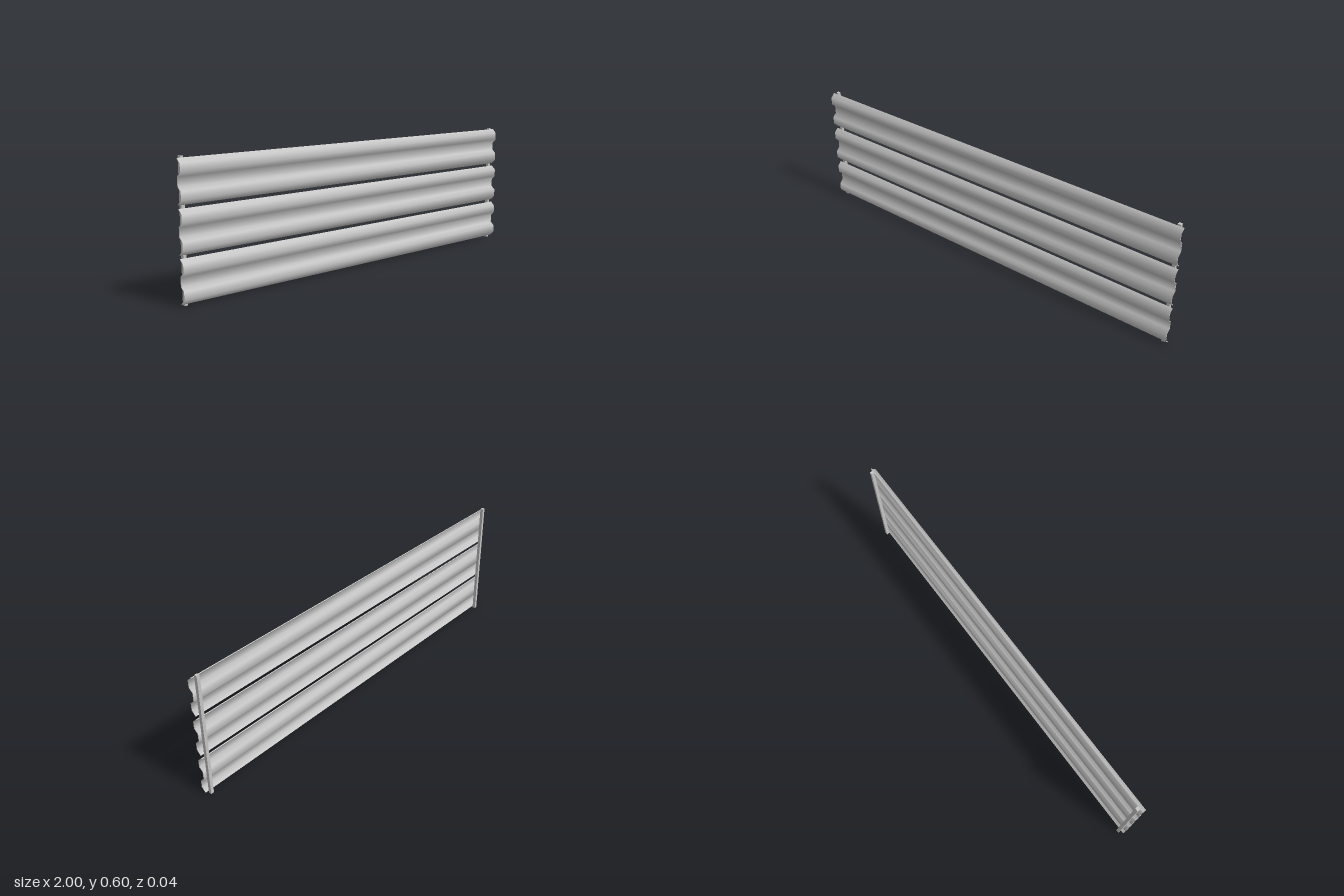
import * as THREE from 'three';
import { toCreasedNormals } from 'three/addons/utils/BufferGeometryUtils.js';

export function createModel() {
  const group = new THREE.Group();
  group.name = 'guardRail';
  const steelGrey = new THREE.MeshStandardMaterial({ color: 0xc4c4c4 });
  steelGrey.name = 'steel grey';

  // Front line of the upper half of a rail as [z, height above rail centre]
  const half = [[-0.0015, 0.0932], [0.0187, 0.0727], [0.0187, 0.037], [-0.0003, 0.0195]];
  const front = [...half, ...half.slice().reverse().map(([z, y]) => [z, -y])];

  // Back line: the front line set back by the sheet thickness, with mitred corners
  const t = 0.0034;
  const normal = (a, b) => {
    const dz = b[0] - a[0], dy = b[1] - a[1], l = Math.hypot(dz, dy);
    return [dy / l, -dz / l];
  };
  const last = front.length - 1;
  const back = front.map((p, i) => {
    const n1 = normal(front[Math.max(i - 1, 0)], front[Math.max(i, 1)]);
    const n2 = normal(front[Math.min(i, last - 1)], front[Math.min(i + 1, last)]);
    const k = t / (1 + n1[0] * n2[0] + n1[1] * n2[1]);
    return [p[0] + (n1[0] + n2[0]) * k, p[1] + (n1[1] + n2[1]) * k];
  });
  const outline = [...front, ...back.reverse()].map(([z, y]) => new THREE.Vector2(z, y));

  // Three folded sheet rails along x: smooth across the folds, sharp at the sheet edges
  const sheet = new THREE.ExtrudeGeometry(new THREE.Shape(outline), { depth: 2, bevelEnabled: false });
  sheet.translate(0, 0, -1).rotateY(-Math.PI / 2);
  const railGeo = toCreasedNormals(sheet, Math.PI / 3);
  ['lowerRail', 'middleRail', 'upperRail'].forEach((name, i) => {
    const rail = new THREE.Mesh(railGeo, steelGrey);
    rail.name = name;
    rail.position.y = 0.101 + i * 0.2;
    group.add(rail);
  });

  // Slim posts behind both ends
  const postGeo = new THREE.BoxGeometry(0.015, 0.6, 0.015);
  for (const side of [-1, 1]) {
    const post = new THREE.Mesh(postGeo, steelGrey);
    post.name = side > 0 ? 'leftPost' : 'rightPost';
    post.position.set(side * 0.9765, 0.3, -0.0112);
    group.add(post);
  }
  return group;
}
